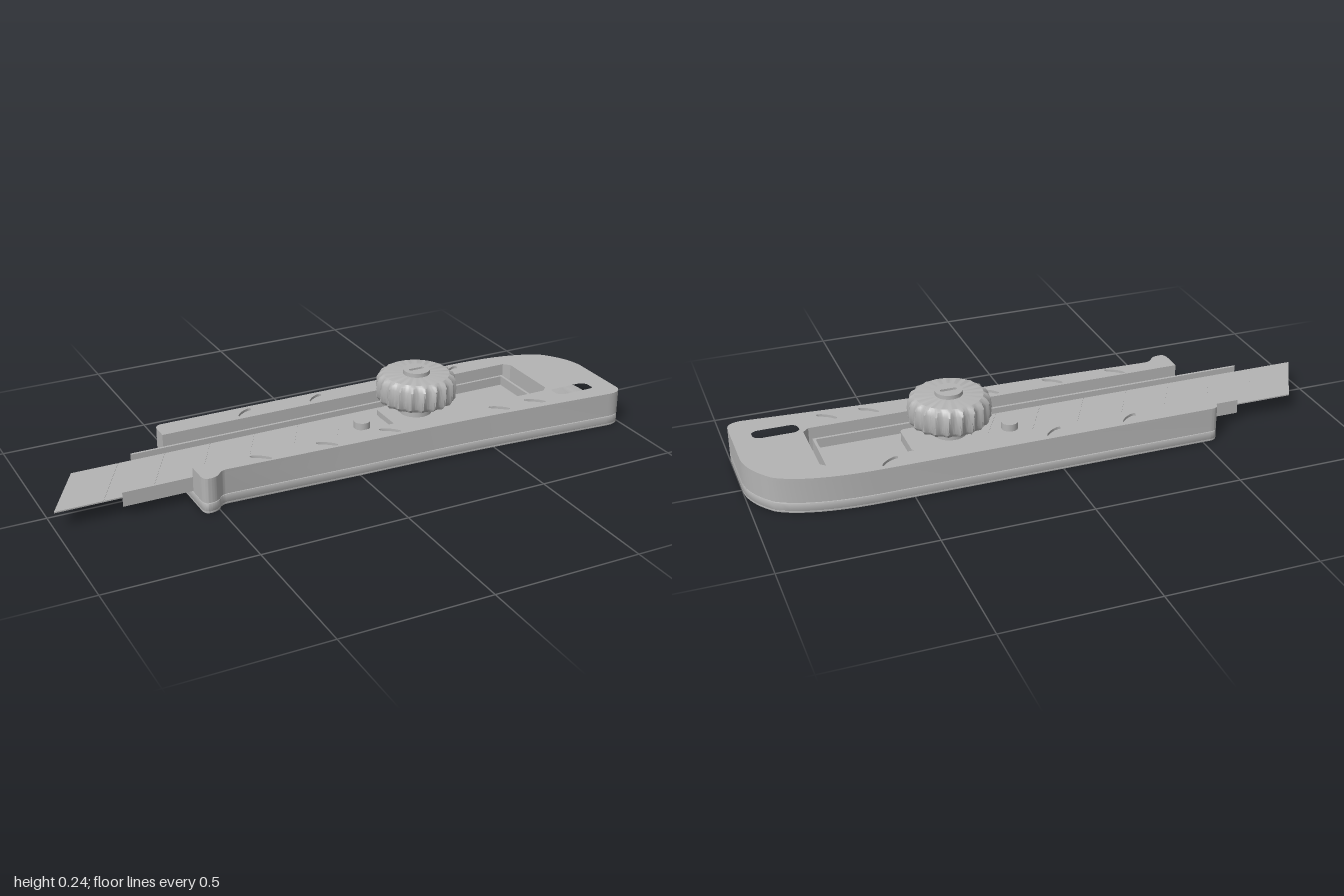
import * as THREE from 'three';
import { toCreasedNormals } from 'three/addons/utils/BufferGeometryUtils.js';

const grey = new THREE.MeshStandardMaterial({ color: 0xb4b4b4 });
grey.name = 'grey';

const add = (group, name, geometry) => {
  const mesh = new THREE.Mesh(geometry, grey);
  mesh.name = name;
  group.add(mesh);
  return mesh;
};

// Shapes are drawn in plan: x and -z, then stood up along y
const poly = (points) => new THREE.Shape(points.map(([x, z]) => new THREE.Vector2(x, -z)));

function slab(shape, y0, y1, bevel = 0) {
  const g = new THREE.ExtrudeGeometry(shape, {
    depth: y1 - y0 - 2 * bevel, curveSegments: 10, bevelEnabled: bevel > 0,
    bevelThickness: bevel, bevelSize: bevel, bevelOffset: -bevel, bevelSegments: 2,
  });
  g.rotateX(-Math.PI / 2).translate(0, y0 + bevel, 0);
  return toCreasedNormals(g, 0.6);
}

function roundedRect(x0, x1, z0, z1, r, Type = THREE.Shape) {
  const s = new Type();
  s.moveTo(x0 + r, -z0);
  s.lineTo(x1 - r, -z0);
  s.quadraticCurveTo(x1, -z0, x1, -z0 - r);
  s.lineTo(x1, -z1 + r);
  s.quadraticCurveTo(x1, -z1, x1 - r, -z1);
  s.lineTo(x0 + r, -z1);
  s.quadraticCurveTo(x0, -z1, x0, -z1 + r);
  s.lineTo(x0, -z0 - r);
  s.quadraticCurveTo(x0, -z0, x0 + r, -z0);
  return s;
}

// Handle outline, optionally with the blade channel open at the nose
function outline(channel) {
  const s = new THREE.Shape();
  s.moveTo(-0.555, 0.205);
  s.quadraticCurveTo(-0.555, 0.235, -0.525, 0.235);
  s.lineTo(0.6, 0.235);
  s.bezierCurveTo(0.75, 0.235, 0.87, 0.21, 0.93, 0.165);
  s.quadraticCurveTo(1, 0.09, 1, 0.01);
  s.lineTo(1, -0.19);
  s.quadraticCurveTo(1, -0.237, 0.94, -0.233);
  s.lineTo(0.55, -0.204);
  s.quadraticCurveTo(0.35, -0.19, 0, -0.183);
  s.lineTo(-0.46, -0.165);
  s.quadraticCurveTo(-0.485, -0.165, -0.497, -0.185);
  s.quadraticCurveTo(-0.51, -0.2, -0.535, -0.2);
  s.quadraticCurveTo(-0.555, -0.2, -0.555, -0.17);
  if (channel) {
    s.lineTo(-0.555, -0.107);
    s.lineTo(0.755, -0.107);
    s.lineTo(0.775, -0.087);
    s.lineTo(0.775, 0.135);
    s.lineTo(0.755, 0.155);
    s.lineTo(-0.555, 0.155);
  }
  s.closePath();
  s.holes.push(roundedRect(0.78, 0.935, 0.095, 0.165, 0.03, THREE.Path));
  return s;
}

// Slanted oval grip dimples along both edges
const dimples = [
  [-0.245, -0.195, 0.65], [0.02, -0.195, 0.65], [0.565, -0.195, 0.65],
  [-0.335, 0.138, -0.65], [-0.105, 0.145, -0.65], [0.125, 0.147, -0.65],
  [0.54, 0.16, -0.65], [0.68, 0.165, -0.65],
];
function dimpled(shape) {
  for (const [x, z, tilt] of dimples) {
    const p = new THREE.Path();
    p.absellipse(x, -z, 0.037, 0.012, 0, Math.PI * 2, false, tilt);
    shape.holes.push(p);
  }
  return shape;
}

function makeHandle() {
  const g = new THREE.Group();
  g.name = 'handle';
  add(g, 'lowerShellSkin', slab(dimpled(outline(false)), 0, 0.009, 0.003));
  add(g, 'lowerShell', slab(outline(false), 0.006, 0.035, 0.003));
  add(g, 'upperShell', slab(outline(true), 0.037, 0.113));
  add(g, 'upperShellSkin', slab(dimpled(outline(true)), 0.113, 0.122));
  return g;
}

function makeCarrier() {
  const g = new THREE.Group();
  g.name = 'bladeCarrier';
  add(g, 'carrierFloor', slab(poly([[-0.785, 0.1], [0.745, 0.1], [0.745, -0.145], [-0.67, -0.145]]), 0.036, 0.052));
  add(g, 'frontLip', slab(poly([[-0.785, 0.1], [0.745, 0.1], [0.745, 0.091], [-0.781, 0.091]]), 0.04, 0.085));
  add(g, 'backLip', slab(poly([[-0.674, -0.136], [0.745, -0.136], [0.745, -0.145], [-0.67, -0.145]]), 0.04, 0.085));
  add(g, 'endLip', slab(poly([[0.736, 0.1], [0.745, 0.1], [0.745, -0.145], [0.736, -0.145]]), 0.04, 0.085));
  return g;
}

function makeBlade() {
  const g = new THREE.Group();
  g.name = 'blade';
  const slant = 0.125, z0 = -0.135, z1 = 0.09;
  const strip = (a, b) => poly([[a, z1], [b, z1], [b + slant, z0], [a + slant, z0]]);
  add(g, 'bladeCore', slab(strip(-1, 0.28), 0.061, 0.064));
  // Snap-off segments separated by score lines
  for (let i = 0; i < 8; i++) {
    const a = -1 + i * 0.16;
    add(g, 'bladeSegment', slab(strip(a, a + 0.157), 0.064, 0.0655));
  }
  return g;
}

function cylinder(r, y0, y1, x, z) {
  return new THREE.CylinderGeometry(r, r, y1 - y0, 32).translate(x, (y0 + y1) / 2, z);
}

function makeSlider() {
  const g = new THREE.Group();
  g.name = 'slider';
  const cx = 0.315, cz = -0.0175;
  add(g, 'sliderPlate', slab(roundedRect(0.2, 0.465, -0.095, 0.058, 0.02), 0.052, 0.085));
  add(g, 'sliderFoot', slab(poly([[0.14, 0.086], [0.4, 0.086], [0.4, 0.055], [0.165, 0.055]]), 0.06, 0.08));
  add(g, 'bladePin', cylinder(0.028, 0.06, 0.09, 0.11, -0.022));
  add(g, 'knobNeck', cylinder(0.055, 0.08, 0.135, cx, cz));

  // Fluted thumb wheel with slightly twisted grooves
  const profile = [[0, 0.13], [0.112, 0.13], [0.128, 0.134], [0.137, 0.146], [0.138, 0.178],
    [0.137, 0.207], [0.128, 0.221], [0.112, 0.228], [0, 0.228]];
  const wheel = new THREE.LatheGeometry(profile.map(([r, y]) => new THREE.Vector2(r, y)), 160);
  const p = wheel.attributes.position;
  for (let i = 0; i < p.count; i++) {
    const x = p.getX(i), y = p.getY(i), z = p.getZ(i);
    if (Math.hypot(x, z) < 0.12) continue;
    const wave = Math.abs(Math.sin(10 * (Math.atan2(z, x) + (y - 0.18) * 0.8)));
    const k = 1 - 0.075 * wave;
    p.setX(i, x * k);
    p.setZ(i, z * k);
  }
  wheel.translate(cx, 0, cz);
  add(g, 'thumbWheel', toCreasedNormals(wheel, 0.6));

  // Screw cap with a driver slot
  const cap = new THREE.Shape();
  cap.absarc(cx, -cz, 0.046, 0, Math.PI * 2);
  cap.holes.push(roundedRect(cx - 0.028, cx + 0.028, cz - 0.007, cz + 0.007, 0.006, THREE.Path));
  add(g, 'screwCap', slab(cap, 0.227, 0.242));
  return g;
}

export function createModel() {
  const model = new THREE.Group();
  model.name = 'utilityKnife';
  model.add(makeHandle(), makeCarrier(), makeBlade(), makeSlider());
  return model;
}
